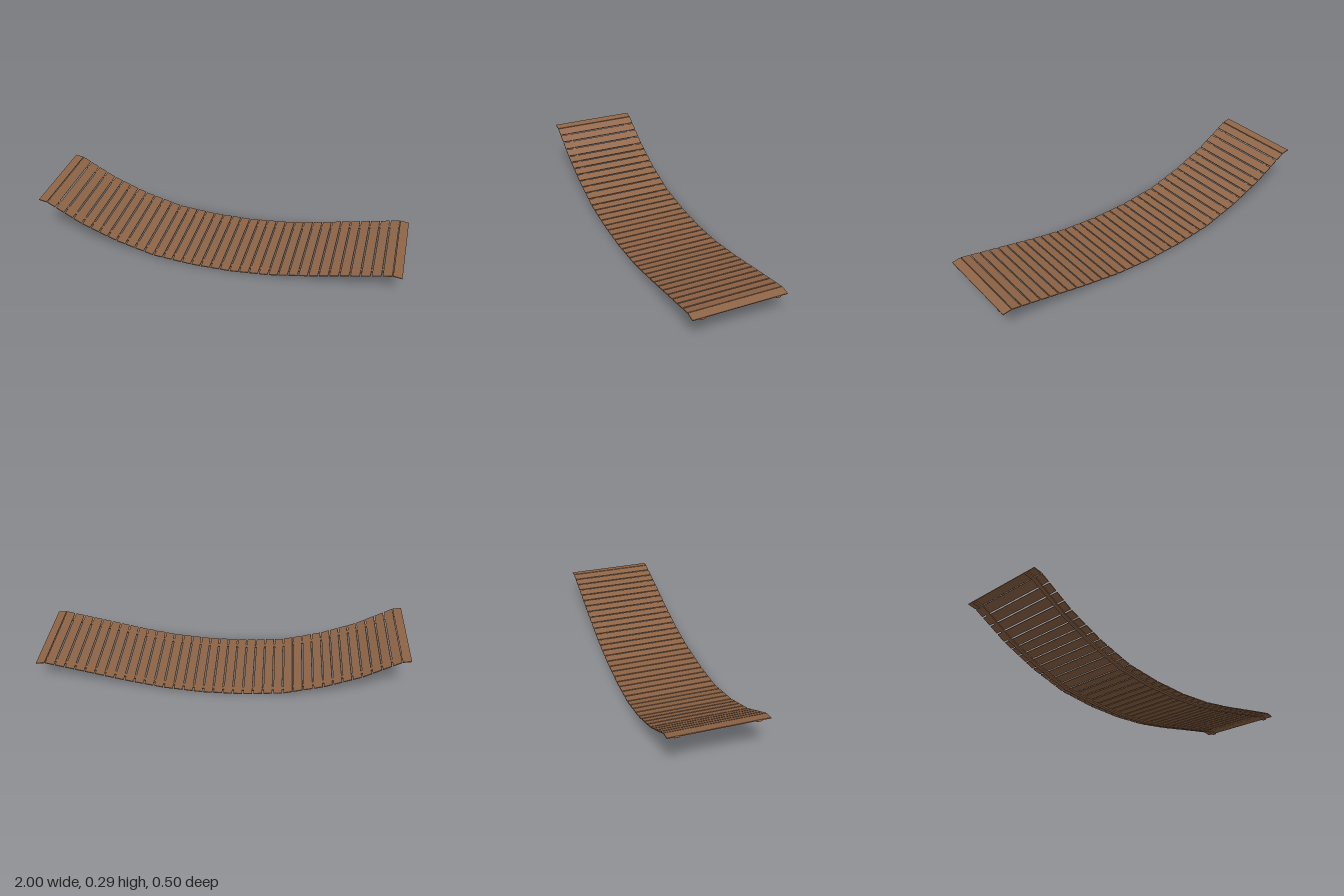
import * as THREE from 'three';

export function createModel() {
  const group = new THREE.Group();
  group.name = 'hangingPlankBridge';
  const wood = new THREE.MeshStandardMaterial({ color: 0x8f6547 });
  wood.name = 'brown wood';

  // Sagging line of the deck's top surface: [x, y, planks up to the next point]
  const line = [
    [-1, 0.287, 1], [-0.953, 0.279, 4], [-0.757, 0.168, 4], [-0.56, 0.089, 4],
    [-0.345, 0.031, 4], [-0.128, 0.012, 4], [0.09, 0.012, 4], [0.306, 0.031, 4],
    [0.52, 0.07, 4], [0.735, 0.117, 4], [0.951, 0.163, 1], [1, 0.156, 0],
  ];
  const plankThick = 0.005, railThick = 0.007;

  // Planks, evenly spread along each straight run
  for (let i = 0; i < line.length - 1; i++) {
    const [x0, y0, count] = line[i];
    const [x1, y1] = line[i + 1];
    const angle = Math.atan2(y1 - y0, x1 - x0);
    const pitch = Math.hypot(x1 - x0, y1 - y0) / count;
    const width = count === 1 ? pitch - 0.002 : pitch - 0.0075;
    const geometry = new THREE.BoxGeometry(width, plankThick, 0.495);
    for (let k = 0; k < count; k++) {
      const t = (k + 0.5) / count;
      const plank = new THREE.Mesh(geometry, wood);
      plank.name = 'plank';
      plank.position.set(
        x0 + (x1 - x0) * t + Math.sin(angle) * plankThick / 2,
        y0 + (y1 - y0) * t - Math.cos(angle) * plankThick / 2, 0);
      plank.rotation.z = angle;
      group.add(plank);
    }
  }

  // Two long rails following the sag under the planks
  const inner = line.map(([x, y]) => new THREE.Vector2(x * 0.998, y - plankThick));
  const outer = inner.map((p) => new THREE.Vector2(p.x, p.y - railThick)).reverse();
  const railGeometry = new THREE.ExtrudeGeometry(new THREE.Shape([...inner, ...outer]),
    { depth: 0.024, bevelEnabled: false });
  railGeometry.translate(0, 0, -0.012);
  for (const z of [0.193, -0.2]) {
    const rail = new THREE.Mesh(railGeometry, wood);
    rail.name = 'rail';
    rail.position.z = z;
    group.add(rail);
  }
  return group;
}
